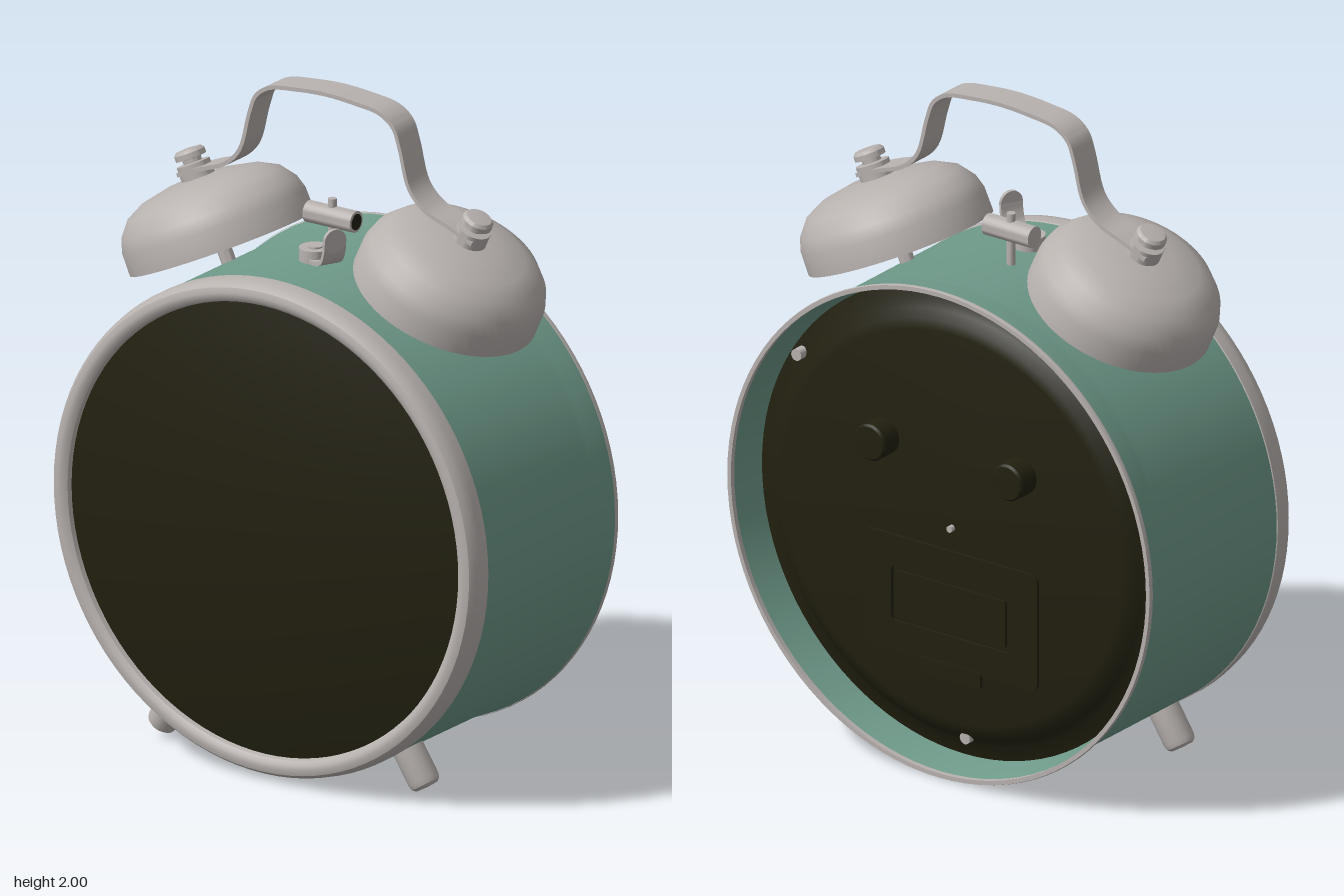
import * as THREE from 'three';
import { toCreasedNormals } from 'three/addons/utils/BufferGeometryUtils.js';

const mat = (name, color) => {
  const m = new THREE.MeshStandardMaterial({ color });
  m.name = name;
  return m;
};

export function createModel() {
  const model = new THREE.Group();
  model.name = 'alarmClock';
  const steel = mat('steel', 0xb8b2af);
  const green = mat('green enamel', 0x6f9a8a);
  const dark = mat('dark olive', 0x222010);

  const add = (parent, name, geometry, material, x = 0, y = 0, z = 0) => {
    const mesh = new THREE.Mesh(toCreasedNormals(geometry, 0.6), material);
    mesh.name = name;
    mesh.position.set(x, y, z);
    parent.add(mesh);
    return mesh;
  };
  const group = (parent, name, x = 0, y = 0, z = 0) => {
    const g = new THREE.Group();
    g.name = name;
    g.position.set(x, y, z);
    parent.add(g);
    return g;
  };
  const lathe = (pts, seg = 48) =>
    new THREE.LatheGeometry(pts.map(([r, y]) => new THREE.Vector2(r, y)), seg);
  const cyl = (r, y0, y1, seg = 24) =>
    new THREE.CylinderGeometry(r, r, y1 - y0, seg).translate(0, (y0 + y1) / 2, 0);

  // Bent metal strip: a path in x/y thickened and extruded across z
  const strip = (path, thickness, width, steps) => {
    const curve = new THREE.CatmullRomCurve3(path.map(([x, y]) => new THREE.Vector3(x, y, 0)));
    const upper = [], lower = [];
    for (let i = 0; i <= steps; i++) {
      const p = curve.getPoint(i / steps), t = curve.getTangent(i / steps);
      const nx = -t.y * thickness / 2, ny = t.x * thickness / 2;
      upper.push(new THREE.Vector2(p.x + nx, p.y + ny));
      lower.unshift(new THREE.Vector2(p.x - nx, p.y - ny));
    }
    return new THREE.ExtrudeGeometry(new THREE.Shape([...upper, ...lower]),
      { depth: width, bevelEnabled: false }).translate(0, 0, -width / 2);
  };

  // Round case, turned so that the lathe axis points to the front
  const clock = group(model, 'case', 0, 0.758, 0);
  const turned = (name, pts, material) =>
    add(clock, name, lathe(pts, 96).rotateX(Math.PI / 2), material);
  turned('shell', [[0.72, -0.24], [0.728, -0.3], [0.742, -0.366], [0.752, -0.366],
    [0.75, -0.345], [0.742, -0.29], [0.739, -0.27], [0.739, 0.25]], green);
  turned('rearRim', [[0.74, -0.36], [0.74, -0.376], [0.753, -0.376], [0.755, -0.37],
    [0.753, -0.36]], steel);
  turned('bezel', [[0.735, 0.248], [0.742, 0.252], [0.742, 0.285], [0.737, 0.31],
    [0.726, 0.325], [0.71, 0.33], [0.695, 0.328], [0.683, 0.318], [0.677, 0.295]], steel);
  const dome = [];
  for (let i = 0; i <= 12; i++) {
    const r = 0.682 * (1 - i / 12);
    dome.push([r, 0.38 - 0.077 * (r / 0.682) ** 2]);
  }
  turned('glass', dome, dark);
  turned('backPlate', [[0, -0.31], [0.6, -0.31], [0.63, -0.303], [0.655, -0.28],
    [0.675, -0.265], [0.73, -0.25]], dark);

  // Back details
  for (const s of [-1, 1]) {
    add(clock, 'backKnob', lathe([[0, -0.383], [0.05, -0.381], [0.056, -0.374], [0.056, -0.3]], 32)
      .rotateX(Math.PI / 2), dark, s * 0.245, 0.225, 0);
  }
  for (const [x, y, z, r] of [[0, 0, -0.313, 0.01], [0.57, 0.385, -0.28, 0.018], [-0.035, -0.65, -0.285, 0.018]]) {
    add(clock, 'backScrew', cyl(r, -0.012, 0.02, 16).rotateX(Math.PI / 2), steel, x, y, z);
  }
  const rect = (w, h, c, Path = THREE.Shape) => {
    const p = new Path();
    p.moveTo(-w + c, -h).lineTo(w - c, -h).quadraticCurveTo(w, -h, w, -h + c)
      .lineTo(w, h - c).quadraticCurveTo(w, h, w - c, h)
      .lineTo(-w + c, h).quadraticCurveTo(-w, h, -w, h - c)
      .lineTo(-w, -h + c).quadraticCurveTo(-w, -h, -w + c, -h);
    return p;
  };
  const door = rect(0.31, 0.18, 0.03);
  door.holes.push(rect(0.21, 0.085, 0.015, THREE.Path));
  const plate = { depth: 0.012, bevelEnabled: false, curveSegments: 6 };
  add(clock, 'batteryDoor', new THREE.ExtrudeGeometry(door, plate), dark, 0, -0.25, -0.32);
  add(clock, 'batteryDoorPanel', new THREE.ExtrudeGeometry(rect(0.195, 0.072, 0.01), plate), dark, 0, -0.25, -0.319);
  add(clock, 'batteryLatch', new THREE.ExtrudeGeometry(rect(0.11, 0.025, 0.01), plate), dark, 0, -0.445, -0.325);

  // Mirrored feet and bells
  for (const s of [-1, 1]) {
    const foot = add(model, 'foot', lathe([[0.047, -0.2], [0.047, -0.025], [0.043, -0.01],
      [0.033, -0.002], [0, 0]], 24), steel, s * 0.467, 0.033, 0.165);
    foot.rotation.z = s * (Math.PI + 0.57);

    const bell = group(model, s > 0 ? 'leftBell' : 'rightBell', s * 0.39, 1.45, -0.033);
    bell.rotation.z = -s * 0.428;
    add(bell, 'bellDome', lathe([[0, 0.192], [0.1, 0.188], [0.175, 0.171], [0.222, 0.145],
      [0.255, 0.105], [0.268, 0.07], [0.27, 0], [0.28, 0], [0.279, 0.07], [0.267, 0.11],
      [0.232, 0.155], [0.18, 0.182], [0.1, 0.2], [0, 0.205]], 64), steel);
    add(bell, 'bellPost', cyl(0.022, -0.12, 0.22), steel);
    add(bell, 'bellScrew', lathe([[0, 0.2], [0.05, 0.2], [0.05, 0.246], [0.028, 0.248], [0.028, 0.26],
      [0.046, 0.262], [0.046, 0.278], [0.038, 0.287], [0, 0.291]], 32), steel);
  }

  // Carrying handle
  const half = [[0.515, 1.643], [0.43, 1.68], [0.35, 1.712], [0.297, 1.765], [0.262, 1.885],
    [0.24, 1.94], [0.195, 1.973], [0.1, 1.988]];
  const path = [...half.map(([x, y]) => [-x, y]), [0, 1.994], ...half.slice().reverse()];
  add(model, 'handle', strip(path, 0.012, 0.096, 96), steel, 0, 0, -0.033);

  // Striker between the bells
  const striker = group(model, 'striker', -0.02, 1.6, -0.055);
  add(striker, 'strikerHead', cyl(0.032, -0.083, 0.083).rotateZ(Math.PI / 2), steel);
  add(striker, 'strikerTip', cyl(0.024, 0, 0.003).rotateZ(-Math.PI / 2), dark, 0.082, 0, 0);
  add(striker, 'strikerRod', cyl(0.013, -0.12, 0.055, 16), steel);

  // Winged stop lever
  const lever = group(model, 'stopLever', 0, 1.495, 0.06);
  lever.rotation.y = -0.46;
  add(lever, 'leverHub', cyl(0.046, 0.012, 0.05, 32), steel);
  add(lever, 'leverPost', cyl(0.022, -0.03, 0.055), steel);
  add(lever, 'leverArm', strip([[0, 0.022], [0.06, 0.022], [0.098, 0.04], [0.114, 0.075], [0.118, 0.105]],
    0.012, 0.07, 20), steel);
  add(lever, 'leverTip', cyl(0.035, -0.006, 0.006, 32).rotateZ(Math.PI / 2), steel, 0.118, 0.105, 0);

  return model;
}
